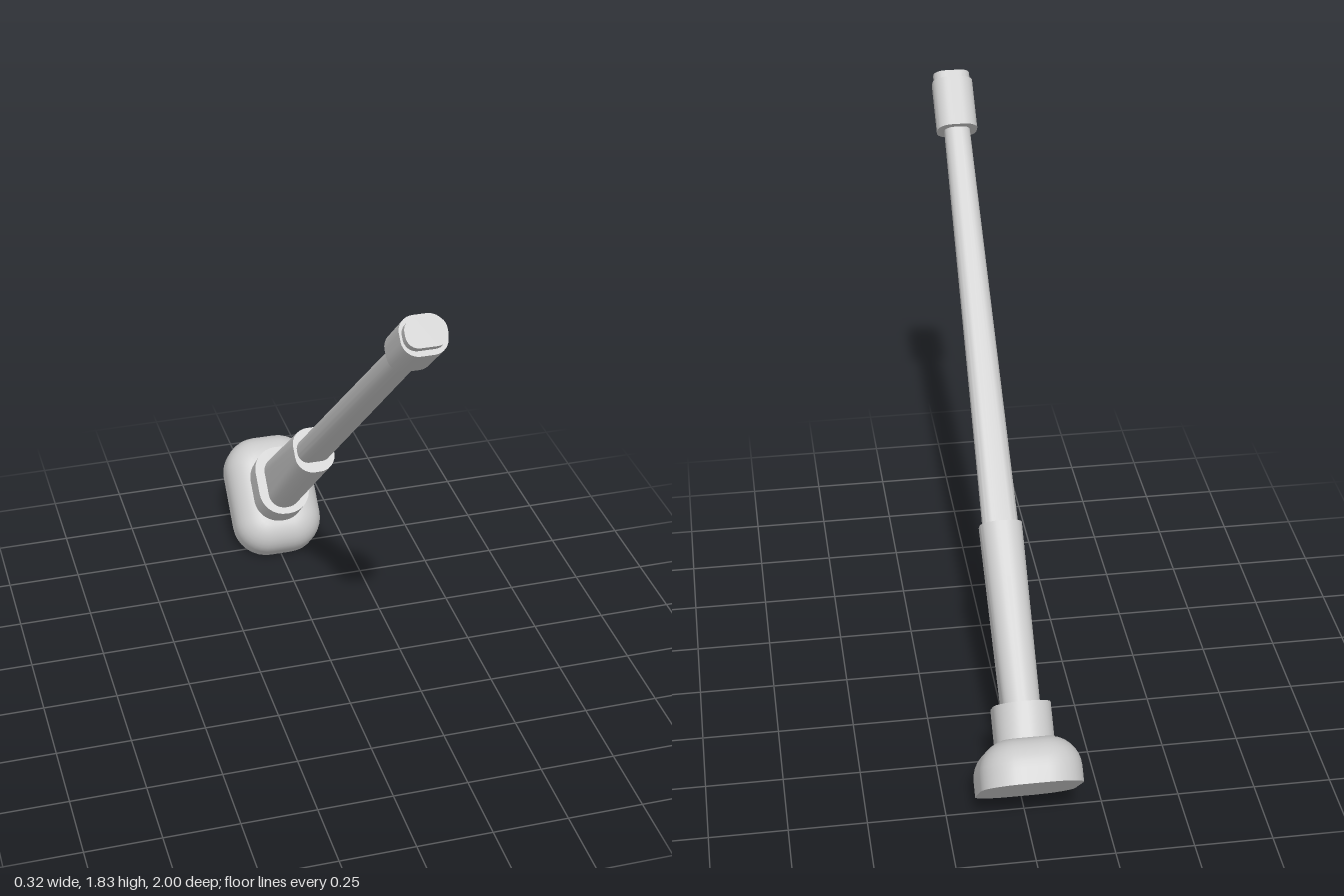
import * as THREE from 'three';
import { toCreasedNormals } from 'three/addons/utils/BufferGeometryUtils.js';

const material = new THREE.MeshStandardMaterial({ color: 0xcccccc });
const CORNER = 8; // steps per rounded corner

// Rounded rectangle in the xz plane: half sizes hx and hz, corner radius r, centre at (0, h, s)
function ring({ h, s = 0, hx, hz, r }) {
  const points = [];
  for (let corner = 0; corner < 4; corner++) {
    const sx = corner === 0 || corner === 3 ? 1 : -1;
    const sz = corner < 2 ? 1 : -1;
    for (let i = 0; i <= CORNER; i++) {
      const a = (corner + i / CORNER) * Math.PI / 2;
      points.push([sx * (hx - r) + r * Math.cos(a), h, s + sz * (hz - r) + r * Math.sin(a)]);
    }
  }
  return points;
}

// Closed solid lofted through rounded-rectangle sections, bottom to top
function loft(name, sections) {
  const n = 4 * (CORNER + 1);
  const positions = [];
  const index = [];
  for (const section of sections) positions.push(...ring(section).flat());
  const last = (sections.length - 1) * n;
  const bottom = sections.length * n;
  const first = sections[0];
  const end = sections[sections.length - 1];
  positions.push(0, first.h, first.s ?? 0, 0, end.h, end.s ?? 0);
  for (let j = 0; j < n; j++) {
    const k = (j + 1) % n;
    for (let i = 0; i < last; i += n) {
      index.push(i + j, i + n + j, i + k, i + k, i + n + j, i + n + k);
    }
    index.push(bottom, j, k, bottom + 1, last + k, last + j);
  }
  const geometry = new THREE.BufferGeometry();
  geometry.setAttribute('position', new THREE.Float32BufferAttribute(positions, 3));
  geometry.setIndex(index);
  const mesh = new THREE.Mesh(toCreasedNormals(geometry, 0.6), material);
  mesh.name = name;
  return mesh;
}

export function createModel() {
  const model = new THREE.Group();
  model.name = 'tiltedRod';

  // Mounting foot: flat underside, generously rounded upper edge
  const foot = [{ h: 0, hx: 0.16, hz: 0.217, r: 0.12 }];
  for (let i = 0; i <= 8; i++) {
    const t = i / 8 * Math.PI / 2;
    const inset = 0.1 * (1 - Math.cos(t));
    foot.push({ h: 0.05 + 0.1 * Math.sin(t), hx: 0.16 - inset, hz: 0.217 - inset, r: 0.12 - inset });
  }
  model.add(loft('foot', foot));

  // Oval collar
  model.add(loft('collar', [
    { h: 0.13, hx: 0.091, hz: 0.125, r: 0.085 },
    { h: 0.262, hx: 0.091, hz: 0.125, r: 0.085 },
  ]));

  // Sleeve: deep and narrow at the collar, nearly square at its mouth
  model.add(loft('sleeve', [
    { h: 0.24, s: 0.005, hx: 0.058, hz: 0.096, r: 0.054 },
    { h: 0.852, s: 0.039, hx: 0.068, hz: 0.078, r: 0.058 },
  ]));

  // Slim rod, tapering to the tip
  model.add(loft('rod', [
    { h: 0.82, s: 0.038, hx: 0.058, hz: 0.042, r: 0.036 },
    { h: 2.26, s: 0.114, hx: 0.043, hz: 0.038, r: 0.033 },
  ]));

  // End cap and its smaller button
  model.add(loft('endCap', [
    { h: 2.236, s: 0.111, hx: 0.068, hz: 0.06, r: 0.048 },
    { h: 2.412, s: 0.12, hx: 0.068, hz: 0.06, r: 0.048 },
  ]));
  model.add(loft('endButton', [
    { h: 2.4, s: 0.12, hx: 0.061, hz: 0.043, r: 0.036 },
    { h: 2.443, s: 0.122, hx: 0.061, hz: 0.043, r: 0.036 },
  ]));

  // Lean the whole assembly forward
  model.rotation.x = Math.PI / 4;
  model.position.set(0, 0.157, -0.843);
  const root = new THREE.Group();
  root.name = 'model';
  root.add(model);
  return root;
}
